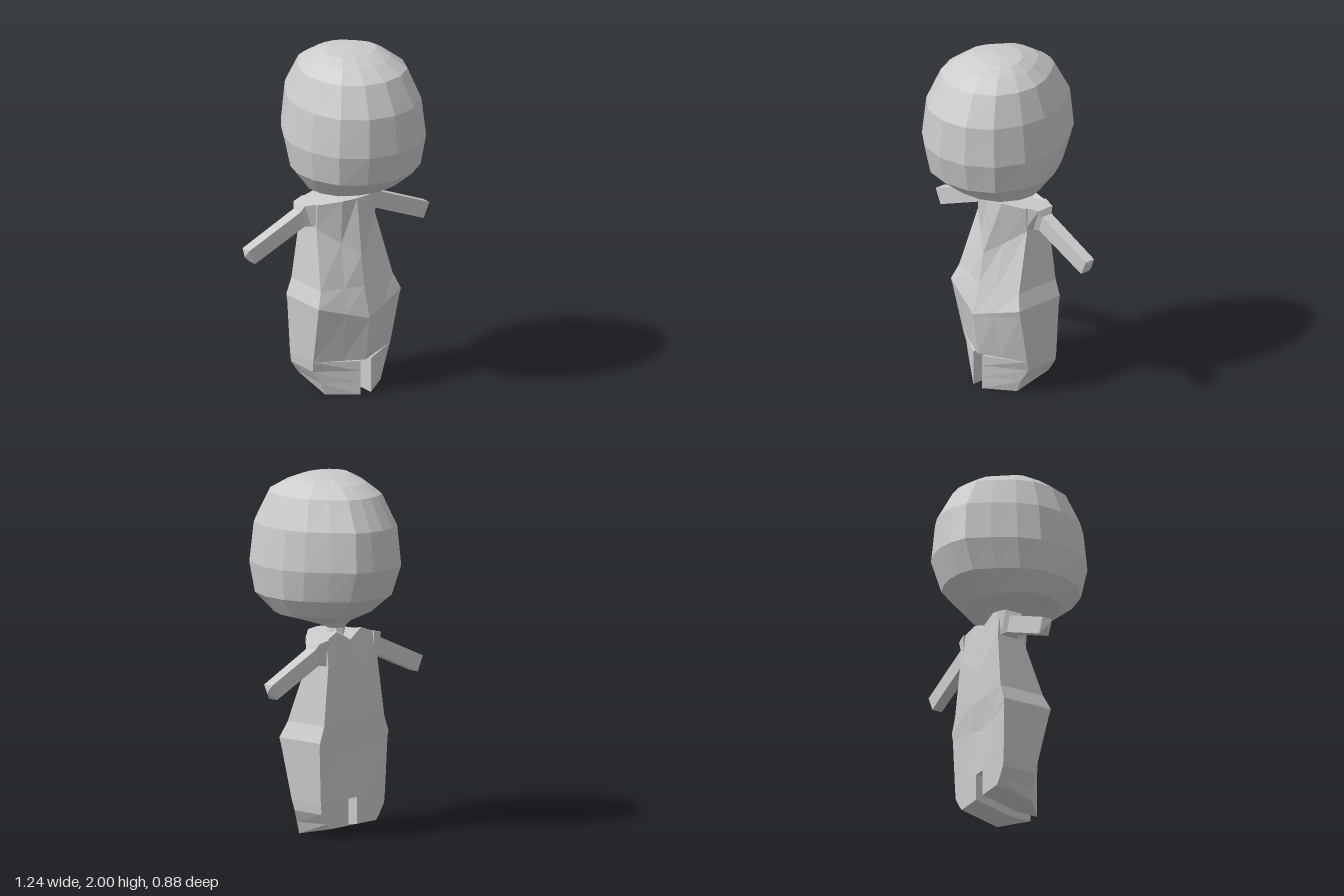
import * as THREE from 'three';

// Skin a list of rings (arrays of [x, y, z]) with flat facets, closing both ends.
function loft(rings) {
  const tris = [];
  const n = rings[0].length;
  for (let k = 0; k < rings.length - 1; k++) {
    const lo = rings[k], hi = rings[k + 1];
    for (let i = 0; i < n; i++) {
      const j = (i + 1) % n;
      tris.push([lo[i], lo[j], hi[j]], [lo[i], hi[j], hi[i]]);
    }
  }
  const first = rings[0], last = rings[rings.length - 1];
  for (let i = 1; i < n - 1; i++) {
    tris.push([first[0], first[i + 1], first[i]], [last[0], last[i], last[i + 1]]);
  }
  // Drop empty triangles and turn the skin outward if its volume is negative
  const a = new THREE.Vector3(), b = new THREE.Vector3(), c = new THREE.Vector3();
  const u = new THREE.Vector3(), v = new THREE.Vector3();
  const kept = [];
  let volume = 0;
  for (const t of tris) {
    a.fromArray(t[0]); b.fromArray(t[1]); c.fromArray(t[2]);
    u.subVectors(b, a).cross(v.subVectors(c, a));
    if (u.length() < 1e-9) continue;
    volume += a.dot(u);
    kept.push(t);
  }
  const points = kept.flatMap(t => (volume < 0 ? [t[0], t[2], t[1]] : t)).flat();
  const geometry = new THREE.BufferGeometry();
  geometry.setAttribute('position', new THREE.Float32BufferAttribute(points, 3));
  geometry.computeVertexNormals();
  return geometry;
}

// Ring of n copies of one point, used to close an end to a tip.
const tip = (p, n) => Array.from({ length: n }, () => p);

// Head: one egg-like plan scaled to width, front and back at each height.
function headGeometry() {
  const half = [[0, 1], [0.43, 0.92], [0.78, 0.69], [0.97, 0.32], [1, -0.04],
    [0.9, -0.33], [0.7, -0.62], [0.48, -0.88], [0.24, -0.97], [0, -1]];
  const plan = [...half, ...half.slice(1, -1).reverse().map(([x, z]) => [-x, z])];
  const levels = [ // y, half width, front z, back z
    [1.15, 0.05, 0.03, -0.1], [1.185, 0.15, 0.14, -0.16], [1.225, 0.28, 0.27, -0.24],
    [1.33, 0.355, 0.4, -0.375], [1.5, 0.38, 0.44, -0.44], [1.72, 0.353, 0.42, -0.42],
    [1.89, 0.288, 0.33, -0.325], [1.95, 0.21, 0.225, -0.23], [1.985, 0.15, 0.13, -0.12],
  ];
  const rings = levels.map(([y, w, front, back]) => {
    const mid = (front + back) / 2, depth = (front - back) / 2;
    return plan.map(([x, z]) => [0.005 + x * w, y, mid + z * depth]);
  });
  rings.push(tip([0.005, 2, 0.02], plan.length));
  return loft(rings);
}

// Torso: front and back ridges with angled panels, mirrored left to right.
function torsoGeometry() {
  const ring = half => [...half, ...half.slice(1, -1).reverse().map(([x, y, z]) => [-x, y, z])];
  // side y, half width, side front z, side back z, centre y, front ridge z, back ridge z
  const levels = [
    [0.2, 0.262, 0.025, -0.19, 0.2, 0.155, -0.19],
    [0.5, 0.277, 0.09, -0.195, 0.44, 0.188, -0.18],
    [0.54, 0.28, 0.1, -0.2, 0.455, 0.19, -0.178],
    [0.63, 0.245, 0.07, -0.2, 0.63, 0.143, -0.198],
    [0.96, 0.2, -0.03, -0.19, 0.8, 0.115, -0.195],
  ];
  const rings = levels.map(([sy, w, sf, sb, cy, cf, cb]) => {
    const mid = (c, s) => c + (s - c) * 0.45;
    return ring([
      [0, cy, cf], [w * 0.45, mid(cy, sy), mid(cf, sf)], [w, sy, sf],
      [w, sy, sb], [w * 0.45, mid(cy, sy), mid(cb, sb)], [0, cy, cb],
    ]);
  });
  rings.push(ring([
    [0, 1.125, 0.075], [0.09, 1.122, 0.06], [0.2, 1.1, -0.02],
    [0.2, 1.1, -0.175], [0.1, 1.135, -0.16], [0, 1.08, -0.17],
  ]));
  rings.push(tip([0, 1.125, -0.06], rings[0].length));
  return loft(rings);
}

// Leg: slanted front panel and a foot whose sole rises toward the back.
function legGeometry(side) {
  const levels = [ // y, back y, outer x, outer front z
    [0, 0.05, 0.19, 0.035], [0.07, 0.08, 0.215, 0.03],
    [0.14, 0.14, 0.255, 0.01], [0.2, 0.2, 0.262, 0.025],
  ];
  return loft(levels.map(([y, by, w, z]) => [
    [0.035, y, 0.035], [0.035, y, 0.155], [w, y, z], [w, by, -0.19], [0.035, by, -0.19],
  ].map(([px, py, pz]) => [px * side, py, pz])));
}

// Arm: tapered shoulder, square sleeve and a blunt pointed end.
function armGeometry(side) {
  const sections = [ // top x, top y, bottom x, bottom y, front z, back z
    [0.18, 1.105, 0.18, 0.95, -0.02, -0.185],
    [0.25, 1.09, 0.205, 0.96, -0.07, -0.172],
    [0.265, 1.055, 0.235, 0.965, -0.085, -0.152],
    [0.615, 0.905, 0.575, 0.82, -0.09, -0.15],
  ];
  const rings = sections.map(([tx, ty, bx, by, f, b]) => [
    [tx * side, ty, f], [tx * side, ty, b], [bx * side, by, b], [bx * side, by, f],
  ]);
  rings.push(tip([0.622 * side, 0.862, -0.12], 4));
  return loft(rings);
}

export function createModel() {
  const model = new THREE.Group();
  model.name = 'figure';
  const grey = new THREE.MeshStandardMaterial({ color: 0xcccccc });
  grey.name = 'light grey';

  const add = (name, geometry) => {
    const mesh = new THREE.Mesh(geometry, grey);
    mesh.name = name;
    model.add(mesh);
  };

  add('head', headGeometry());
  add('torso', torsoGeometry());

  // Neck: short flare between the torso and the head
  const circle = (y, r, z) => Array.from({ length: 8 }, (_, i) => {
    const t = i / 8 * Math.PI * 2;
    return [Math.sin(t) * r, y, z + Math.cos(t) * r];
  });
  add('neck', loft([circle(1.09, 0.065, -0.06), circle(1.14, 0.05, -0.06), circle(1.2, 0.12, -0.05)]));

  for (const [label, side] of [['left', 1], ['right', -1]]) {
    add(label + 'Arm', armGeometry(side));
    add(label + 'Leg', legGeometry(side));
  }
  return model;
}
